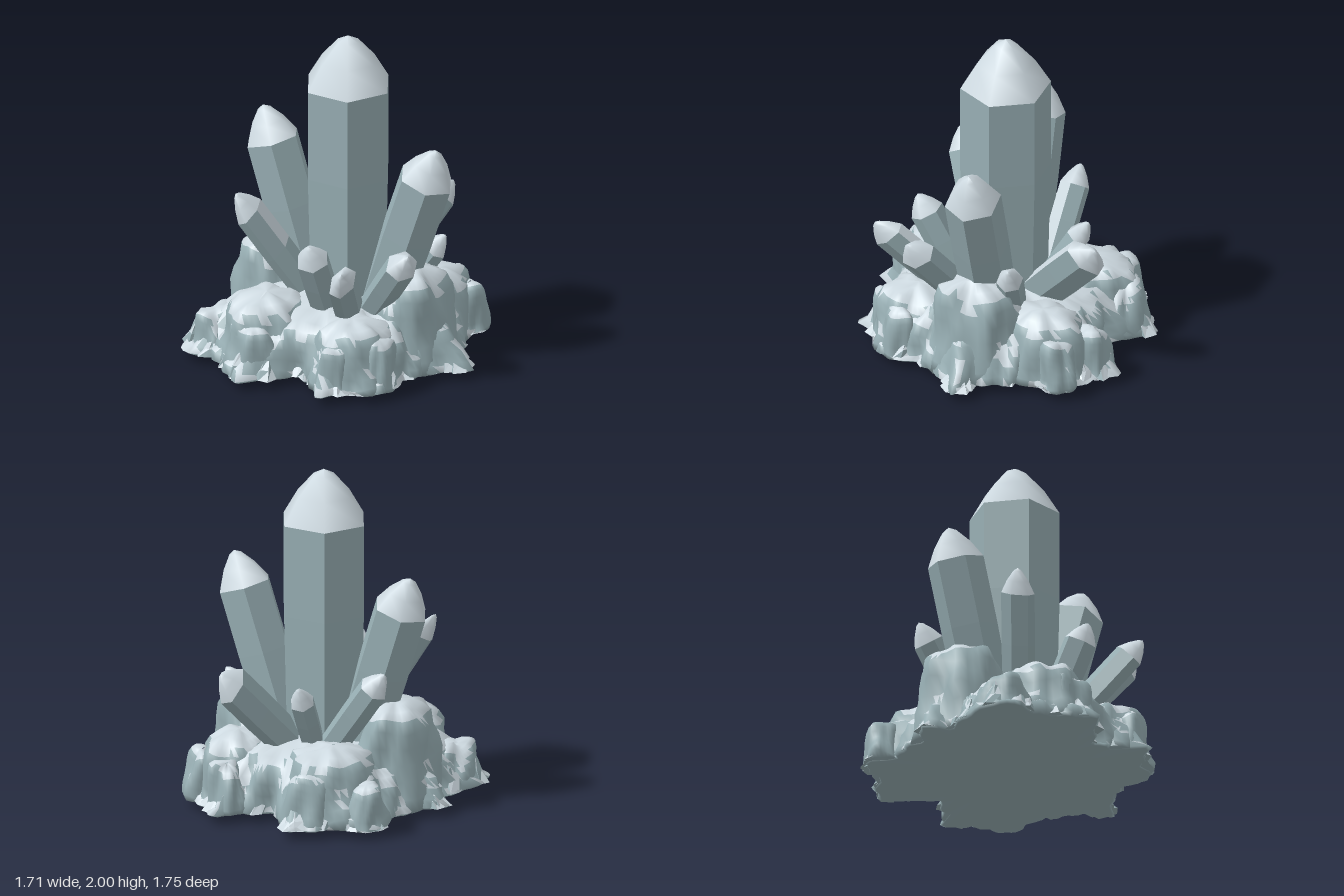
import * as THREE from 'three';
import { mergeVertices } from 'three/addons/utils/BufferGeometryUtils.js';

const frost = new THREE.MeshStandardMaterial({ color: 0xcdd9e0 });
frost.name = 'pale frost';
const stone = new THREE.MeshStandardMaterial({ color: 0x98afb4 });
stone.name = 'blue grey stone';

const V2 = (x, y) => new THREE.Vector2(x, y);
const V3 = (x, y, z) => new THREE.Vector3(x, y, z);

let seed = 7;
const rand = () => (seed = (seed * 16807) % 2147483647) / 2147483647;

// gentle bumps that depend only on position
const bump = (p) => Math.sin(17 * p.x + 1) * Math.sin(15 * p.z + 2) * Math.sin(14 * p.y + 0.5)
  + 0.6 * Math.sin(31 * p.x + 9 * p.y) * Math.sin(29 * p.z - 8 * p.y);

// faces chosen by isPale go to the frost group, the others to the stone group
function paint(geo, isPale) {
  const g = geo.index ? geo.toNonIndexed() : geo;
  const pos = g.attributes.position, nor = g.attributes.normal;
  const lists = [{ p: [], n: [] }, { p: [], n: [] }];
  const tri = new THREE.Triangle(), n = V3(), mid = V3();
  for (let i = 0; i < pos.count; i += 3) {
    tri.setFromAttributeAndIndices(pos, i, i + 1, i + 2);
    if (tri.getArea() < 1e-8) continue;
    tri.getNormal(n);
    tri.getMidpoint(mid);
    const list = lists[isPale(n, mid) ? 0 : 1];
    for (let k = i; k < i + 3; k++) {
      list.p.push(pos.getX(k), pos.getY(k), pos.getZ(k));
      list.n.push(nor.getX(k), nor.getY(k), nor.getZ(k));
    }
  }
  const out = new THREE.BufferGeometry();
  const [a, b] = lists;
  out.setAttribute('position', new THREE.Float32BufferAttribute(a.p.concat(b.p), 3));
  out.setAttribute('normal', new THREE.Float32BufferAttribute(a.n.concat(b.n), 3));
  out.addGroup(0, a.p.length / 3, 0);
  out.addGroup(a.p.length / 3, b.p.length / 3, 1);
  return out;
}

function addPart(group, name, geo, isPale) {
  const mesh = new THREE.Mesh(paint(geo, isPale), [frost, stone]);
  mesh.name = name;
  group.add(mesh);
}

// moves every vertex by a rule, then welds the seam for smooth normals
function reshape(geo, rule) {
  geo.deleteAttribute('uv');
  geo.deleteAttribute('normal');
  const pos = geo.attributes.position, p = V3();
  for (let i = 0; i < pos.count; i++) {
    rule(p.fromBufferAttribute(pos, i));
    pos.setXYZ(i, p.x, p.y, p.z);
  }
  const g = mergeVertices(geo, 1e-4);
  g.computeVertexNormals();
  return g;
}

const snowy = (n, m) => n.y > 0.52 + 0.22 * bump(m);

// six-sided crystal: faceted shaft and a softly rounded pale point; flat squashes it sideways
function crystal(group, name, base, tip, r, tipLength, flat = 1) {
  const dir = tip.clone().sub(base), len = dir.length(), neck = len - tipLength;
  const turn = new THREE.Quaternion().setFromUnitVectors(V3(0, 1, 0), dir.normalize());
  const place = (profile) => new THREE.LatheGeometry(profile, 6, Math.PI / 2)
    .scale(flat, 1, 1).applyQuaternion(turn).translate(base.x, base.y, base.z);

  const shaft = place([V2(r * 0.92, 0), V2(r, neck * 0.6), V2(r, neck)]).toNonIndexed();
  shaft.computeVertexNormals();
  addPart(group, name + 'Shaft', shaft, (n) => n.y > 0.5);

  const point = place([V2(r, neck), V2(r * 0.65, neck + tipLength * 0.5),
    V2(r * 0.25, neck + tipLength * 0.89), V2(0, len)]);
  const mesh = new THREE.Mesh(point, frost);
  mesh.name = name + 'Point';
  group.add(mesh);
}

// sloping boulder with a rounded top
function boulder(group, name, x, z, rx, rz, h) {
  const profile = [V2(0, 0.05), V2(1.16, 0.05), V2(1.12, 0.2 * h), V2(1.07, 0.35 * h), V2(1.02, 0.5 * h),
    V2(0.97, 0.64 * h), V2(0.91, 0.77 * h), V2(0.8, 0.88 * h), V2(0.6, 0.95 * h), V2(0.3, 0.985 * h), V2(0, h)];
  const phase = x * 9 + z * 5;
  const geo = reshape(new THREE.LatheGeometry(profile, 40), (p) => {
    const a = Math.atan2(p.z, p.x);
    const s = 1 + 0.05 * Math.sin(5 * a + phase) + 0.03 * Math.sin(9 * a - phase + 12 * p.y);
    p.set(x + p.x * rx * s, p.y, z + p.z * rz * s);
    const b = 0.022 * bump(p);
    if (p.y > 0.06) p.add(V3(Math.cos(a) * b, b, Math.sin(a) * b));
  });
  addPart(group, name, geo, snowy);
}

// ragged footprint of the rock, as x, z pairs
const outline = [[0.85, 0], [0.69, 0.14], [0.59, 0.3], [0.58, 0.56], [0.42, 0.62], [0.27, 0.81], [0.15, 0.64],
  [0, 0.61], [-0.12, 0.73], [-0.25, 0.87], [-0.42, 0.72], [-0.55, 0.62], [-0.69, 0.66], [-0.8, 0.56],
  [-0.76, 0.26], [-0.7, 0.1], [-0.85, 0], [-0.69, -0.12], [-0.68, -0.28], [-0.6, -0.42], [-0.7, -0.54],
  [-0.58, -0.67], [-0.48, -0.64], [-0.4, -0.75], [-0.25, -0.87], [-0.07, -0.7], [0, -0.6], [0.1, -0.68],
  [0.2, -0.71], [0.28, -0.85], [0.4, -0.71], [0.58, -0.62], [0.59, -0.45], [0.56, -0.36], [0.65, -0.25], [0.7, -0.1]]
  .map(([x, z]) => ({ a: (Math.atan2(z, x) + Math.PI * 2) % (Math.PI * 2), r: Math.hypot(x, z) }))
  .sort((p, q) => p.a - q.a);

function edgeRadius(angle) {
  const a = (angle + Math.PI * 4) % (Math.PI * 2);
  let i = outline.length - 1;
  while (i > 0 && outline[i].a > a) i--;
  const p = outline[i], q = outline[(i + 1) % outline.length];
  const span = (q.a - p.a + Math.PI * 2) % (Math.PI * 2);
  return THREE.MathUtils.lerp(p.r, q.r, (a - p.a) / span);
}

// jagged pinnacle leaning in against the rock at a given angle
function pinnacle(group, name, angle, radius, width, height) {
  const geo = reshape(new THREE.ConeGeometry(width, height, 7, 3), (p) => {
    const up = p.y / height + 0.5;
    const b = 1 + 0.3 * Math.sin(5 * Math.atan2(p.z, p.x) + angle * 7 + up * 4);
    p.set(p.x * b - up * width * 0.9, p.y + height / 2, p.z * b);
  });
  geo.rotateY(-angle);
  geo.translate(Math.cos(angle) * radius, 0.055, Math.sin(angle) * radius);
  const flat = geo.toNonIndexed();
  flat.computeVertexNormals();
  addPart(group, name, flat, (n) => n.y > 0.42);
}

export function createModel() {
  const model = new THREE.Group();
  model.name = 'crystalCluster';

  // low rocky bed, spiky at the foot and rounder above
  const bed = [V2(0, 0), V2(0.04, 0.025), V2(0.6, 0.035), V2(0.97, 0.045), V2(1, 0.06), V2(0.97, 0.1), V2(0.94, 0.16),
    V2(0.91, 0.22), V2(0.87, 0.28), V2(0.81, 0.33), V2(0.73, 0.37), V2(0.58, 0.4), V2(0.4, 0.42), V2(0.2, 0.44), V2(0, 0.45)];
  const bedGeo = reshape(new THREE.LatheGeometry(bed, 140), (p) => {
    const a = Math.atan2(p.z, p.x), k = THREE.MathUtils.clamp((p.y - 0.06) * 2.6, 0, 0.7);
    const ragged = edgeRadius(a) + 0.015 * Math.sin(31 * a + 20 * p.y);
    const s = THREE.MathUtils.lerp(ragged, 0.74, k);
    p.x *= s;
    p.z *= s;
    if (p.y > 0.07) {
      const b = 0.03 * bump(p);
      p.add(V3(Math.cos(a) * b, b * 0.7, Math.sin(a) * b));
    }
  });
  addPart(model, 'rockBed', bedGeo, snowy);

  // boulders: x, z, half width, half depth, height
  const boulders = [
    [0.44, 0, 0.22, 0.27, 0.63], [-0.48, 0, 0.22, 0.27, 0.66],
    [-0.28, 0.45, 0.24, 0.27, 0.47], [0.29, 0.42, 0.24, 0.25, 0.42],
    [-0.28, -0.42, 0.26, 0.3, 0.46], [0.36, -0.38, 0.2, 0.26, 0.45],
    [-0.62, 0.43, 0.13, 0.17, 0.3], [-0.58, -0.53, 0.1, 0.11, 0.31],
    [0.52, -0.53, 0.09, 0.1, 0.34], [0.48, 0.46, 0.1, 0.11, 0.35],
    [-0.25, 0.65, 0.14, 0.11, 0.36], [0.28, -0.66, 0.11, 0.1, 0.35],
    [-0.25, -0.67, 0.15, 0.11, 0.36], [0.27, 0.61, 0.11, 0.1, 0.33],
  ];
  boulders.forEach((b, i) => boulder(model, 'boulder' + (i + 1), ...b));

  // pinnacles around the foot
  for (let i = 0; i < 30; i++) {
    const a = (i + 0.5 * rand()) / 30 * Math.PI * 2;
    const width = 0.05 + 0.03 * rand();
    pinnacle(model, 'pinnacle' + (i + 1), a, edgeRadius(a) - width * 0.9, width, 0.1 + 0.12 * rand());
  }
  // larger ones on the two side spurs
  [0, Math.PI].forEach((a, i) => pinnacle(model, 'spurPinnacle' + (i + 1), a, 0.73, 0.09, 0.2));

  // crystals: name, base, tip, radius, point length, sideways squash
  crystal(model, 'mainCrystal', V3(0, 0.3, -0.01), V3(0, 2, -0.01), 0.268, 0.31);
  crystal(model, 'tallRightCrystal', V3(-0.21, 0.25, -0.01), V3(-0.58, 1.42, -0.01), 0.168, 0.21);
  crystal(model, 'tallLeftCrystal', V3(0.21, 0.25, -0.01), V3(0.6, 1.4, -0.01), 0.168, 0.21);
  crystal(model, 'frontRightCrystal', V3(-0.11, 0.3, 0.12), V3(-0.49, 1.05, 0.45), 0.12, 0.15, 0.5);
  crystal(model, 'frontCrystal', V3(0.02, 0.32, 0.24), V3(0.05, 0.86, 0.52), 0.1, 0.12);
  crystal(model, 'frontLeftCrystal', V3(0.15, 0.3, 0.2), V3(0.36, 0.81, 0.67), 0.11, 0.12, 0.65);
  crystal(model, 'sideLeftCrystal', V3(0.22, 0.32, 0.12), V3(0.63, 0.87, 0.36), 0.11, 0.12, 0.85);
  crystal(model, 'backLeftCrystal', V3(0.07, 0.32, -0.2), V3(0.31, 0.88, -0.69), 0.135, 0.12, 0.6);
  crystal(model, 'backRightCrystal', V3(-0.15, 0.35, -0.22), V3(-0.55, 0.9, -0.27), 0.09, 0.13);
  crystal(model, 'smallBackCrystal', V3(-0.06, 0.35, -0.22), V3(-0.1, 0.8, -0.49), 0.075, 0.12);
  crystal(model, 'smallSideCrystal', V3(0.25, 0.35, -0.16), V3(0.53, 0.76, -0.23), 0.08, 0.12);

  return model;
}
